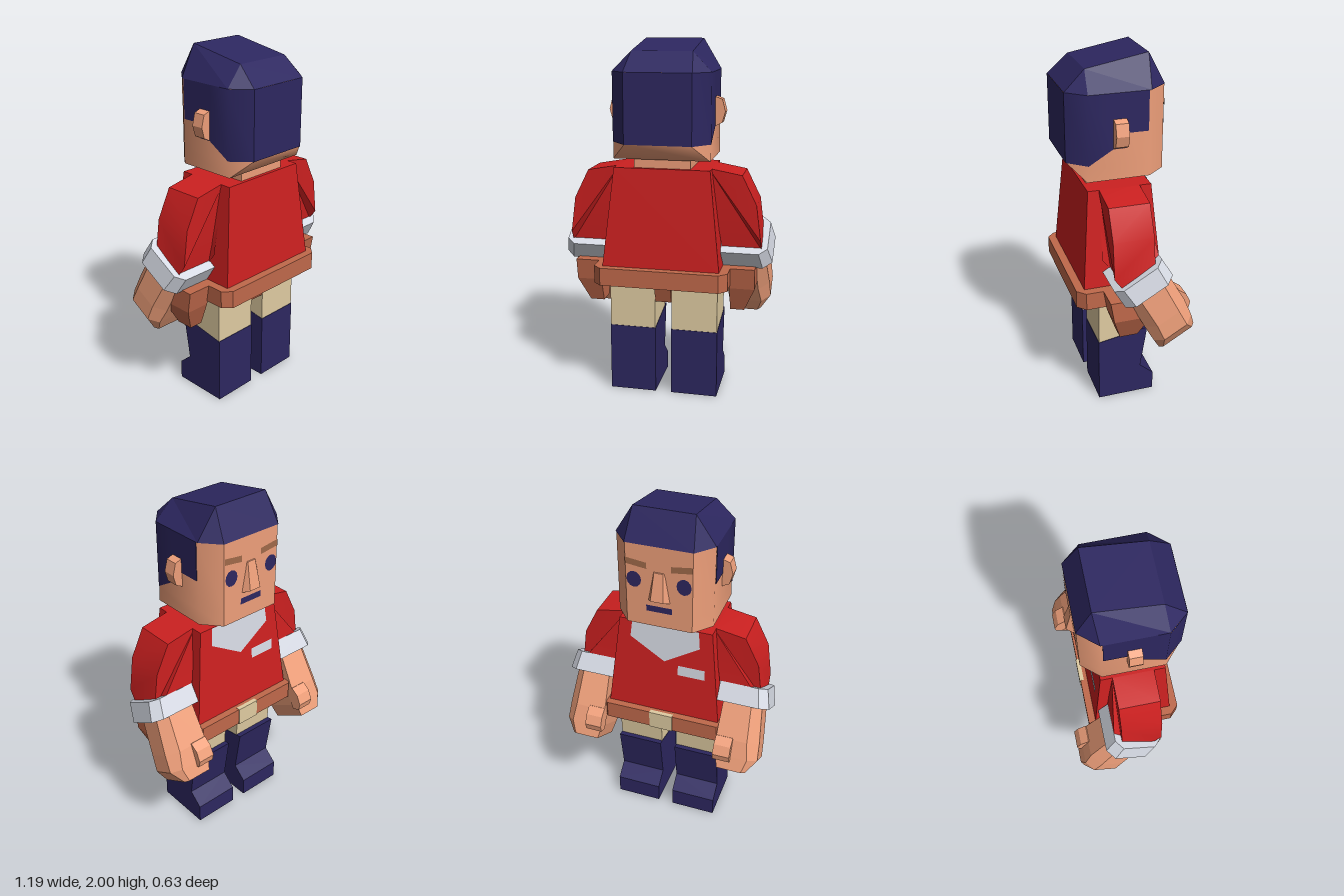
import * as THREE from 'three';
import { toCreasedNormals } from 'three/addons/utils/BufferGeometryUtils.js';

const COLORS = { navy: 0x2d2760, skin: 0xee9f7a, red: 0xcc2020, white: 0xd6dae4, leather: 0xc0694b, tan: 0xe0cca2, brow: 0xa06a4a };
const mats = {};
for (const k in COLORS) mats[k] = new THREE.MeshStandardMaterial({ color: COLORS[k] });
const thin = {};
for (const k in COLORS) thin[k] = new THREE.MeshStandardMaterial({ color: COLORS[k], side: THREE.DoubleSide });

// Skin matching rings of [x, y, z] points into a faceted solid, wound outward
function loft(rings, { crease = 0, caps = true } = {}) {
  const tris = [], n = rings[0].length;
  const V = rings.map(r => r.map(p => new THREE.Vector3(...p)));
  const add = (a, b, c) => {
    const area = b.clone().sub(a).cross(c.clone().sub(a)).length();
    if (area > 1e-7) tris.push([a, b, c]);
  };
  for (let i = 0; i + 1 < V.length; i++) {
    for (let j = 0; j < n; j++) {
      const k = (j + 1) % n;
      add(V[i][j], V[i][k], V[i + 1][k]);
      add(V[i][j], V[i + 1][k], V[i + 1][j]);
    }
  }
  if (caps) {
    const a = V[0], b = V[V.length - 1];
    for (let j = 1; j + 1 < n; j++) {
      add(a[0], a[j + 1], a[j]);
      add(b[0], b[j], b[j + 1]);
    }
  }
  const mid = new THREE.Vector3();
  V.flat().forEach(p => mid.addScaledVector(p, 1 / V.flat().length));
  let vol = 0;
  for (const t of tris) {
    const [a, b, c] = t.map(p => p.clone().sub(mid));
    vol += a.dot(b.cross(c));
  }
  const pos = tris.flatMap(([a, b, c]) => (vol < 0 ? [a, c, b] : [a, b, c]).flatMap(p => p.toArray()));
  const g = new THREE.BufferGeometry();
  g.setAttribute('position', new THREE.Float32BufferAttribute(pos, 3));
  g.computeVertexNormals();
  return crease ? toCreasedNormals(g, crease) : g;
}

// Horizontal rectangle and octagon rings
const rect = (y, x0, x1, z0, z1) => [[x0, y, z0], [x1, y, z0], [x1, y, z1], [x0, y, z1]];
const octagon = (y, w, z0, z1, cx, cz) => [
  [-w + cx, y, z0], [w - cx, y, z0], [w, y, z0 + cz], [w, y, z1 - cz],
  [w - cx, y, z1], [-w + cx, y, z1], [-w, y, z1 - cz], [-w, y, z0 + cz]];
// Arm ring: straight inside, chamfered outside, mirrored by s
const armRing = (s, y, x0, x1, z0, z1, c) => [
  [x0, y, z0], [x1 - c, y, z0], [x1, y, z0 + c], [x1, y, z1 - c], [x1 - c, y, z1], [x0, y, z1]
].map(([x, yy, z]) => [x * s, yy, z]);

export function createModel() {
  const model = new THREE.Group();
  const add = (name, geo, mat, parent = model) => {
    const m = new THREE.Mesh(geo, mat);
    m.name = name;
    parent.add(m);
    return m;
  };
  // Thin flat marking facing -z, laid at depth z(y)
  const decal = (name, pts, color, z) => {
    const g = new THREE.ShapeGeometry(new THREE.Shape(pts.map(p => new THREE.Vector2(...p))));
    const p = g.attributes.position;
    for (let i = 0; i < p.count; i++) p.setZ(i, z(p.getY(i)));
    g.computeVertexNormals();
    add(name, g, thin[color]);
  };

  // Head, with the back of the jaw cut away
  const jaw = octagon(1.37, 0.265, -0.22, 0.31, 0.085, 0.1);
  jaw[3] = jaw[4] = [0.265, 1.37, 0.22];
  jaw[5] = jaw[6] = [-0.265, 1.37, 0.22];
  add('head', loft([jaw, octagon(1.46, 0.265, -0.22, 0.31, 0.085, 0.1), octagon(1.835, 0.265, -0.22, 0.31, 0.085, 0.1)], { crease: 0.85 }), mats.skin);
  add('neck', loft([rect(1.3, -0.155, 0.155, -0.11, 0.2), rect(1.4, -0.155, 0.155, -0.11, 0.2)]), mats.skin);

  // Hair: wall round the sides and back, then the sloping crown
  const side = [[0.268, 1.62, -0.11], [0.268, 1.62, 0.01], [0.268, 1.54, 0.01], [0.268, 1.54, 0.08], [0.268, 1.46, 0.213], [0.182, 1.46, 0.313]];
  const hairLine = [...side, ...side.map(([x, y, z]) => [-x, y, z]).reverse()];
  add('hairSides', loft([hairLine, hairLine.map(([x, , z]) => [x, 1.835, z])], { crease: 0.85, caps: false }), thin.navy);
  const crown = [-1, 1, 1, 1, 1, -1, -1, -1].map((s, i) => {
    const back = i > 2 && i < 7;
    return [s * 0.165, back ? 1.94 : 2, back ? 0.2 : -0.138];
  });
  add('hairCrown', loft([octagon(1.835, 0.268, -0.222, 0.312, 0.085, 0.1), crown]), mats.navy);

  // Face
  const faceZ = () => -0.224;
  add('nose', loft([
    [[-0.065, 1.52, -0.21], [0.065, 1.52, -0.21], [0.035, 1.54, -0.257], [-0.035, 1.54, -0.257]],
    [[-0.035, 1.7, -0.21], [0.035, 1.7, -0.21], [0.025, 1.69, -0.224], [-0.025, 1.69, -0.224]]]), mats.skin);
  decal('mouth', [[-0.07, 1.46], [0.07, 1.46], [0.07, 1.495], [-0.07, 1.495]], 'navy', faceZ);

  // Torso with its tapered shirt, collar and badge
  add('shirt', loft([rect(0.76, -0.328, 0.328, -0.18, 0.265), rect(1.32, -0.265, 0.265, -0.13, 0.22)]), mats.red);
  const chestZ = y => -0.134 - (1.32 - y) * 0.09;
  decal('collar', [[-0.19, 1.32], [-0.2, 1.22], [0, 1.1], [0.2, 1.22], [0.19, 1.32]], 'white', chestZ);
  decal('badge', [[-0.235, 1.03], [-0.08, 1.03], [-0.08, 1.09], [-0.235, 1.09]], 'white', chestZ);

  // Belt, buckle and hip piece
  add('belt', loft([0.67, 0.77].map(y => octagon(y, 0.375, -0.22, 0.31, 0.045, 0.045))), mats.leather);
  add('buckle', loft([rect(0.668, -0.068, 0.068, -0.225, -0.2), rect(0.772, -0.068, 0.068, -0.225, -0.2)]), mats.tan);
  add('hipPiece', loft([rect(0.55, -0.046, 0.046, -0.06, 0.175), rect(0.68, -0.046, 0.046, -0.1, 0.22)]), mats.leather);

  for (const s of [1, -1]) {
    const tag = s > 0 ? 'left' : 'right';
    const across = (pts, x0, x1) => [x0, x1].map(x => pts.map(([z, y]) => [s * x, y, z]));
    const along = (pts, z0, z1) => [z0, z1].map(z => pts.map(([x, y]) => [s * x, y, z]));

    // Ear, eye and brow
    add(tag + 'Ear', loft(along([[0.25, 1.7], [0.265, 1.7], [0.305, 1.685], [0.322, 1.62], [0.305, 1.56], [0.265, 1.54], [0.25, 1.54]], 0.01, 0.08)), mats.skin);
    const eye = Array.from({ length: 12 }, (_, i) => {
      const a = i * Math.PI / 6;
      return [s * 0.135 + 0.04 * Math.cos(a), 1.635 + 0.046 * Math.sin(a)];
    });
    decal(tag + 'Eye', eye, 'navy', faceZ);
    decal(tag + 'Brow', [[0.065, 1.705], [0.18, 1.72], [0.18, 1.755], [0.065, 1.74]].map(([x, y]) => [s * x, y]), 'brow', faceZ);

    // Trouser leg and boot
    add(tag + 'Trouser', loft([rect(0.35, s * 0.047, s * 0.308, -0.07, 0.178), rect(0.68, s * 0.047, s * 0.308, -0.09, 0.178)]), mats.tan);
    add(tag + 'Boot', loft(across([[0.18, 0], [0.18, 0.39], [-0.11, 0.44], [-0.07, 0.18], [-0.15, 0.11], [-0.15, 0]], 0.045, 0.31)), mats.navy);

    // Pouch hanging from the belt
    add(tag + 'Pouch', loft([[0.51, 0.45, 0, 0.1], [0.65, 0.51, -0.06, 0.15], [0.77, 0.51, -0.06, 0.17]]
      .map(([y, x1, z0, z1]) => rect(y, s * 0.37, s * x1, z0, z1))), mats.leather);

    // Sleeve, its lower edge swung forward into the cuff
    const sleeve = along([[0.25, 1.32], [0.265, 1.32], [0.43, 1.29], [0.51, 1.13], [0.537, 0.93], [0.54, 0.87], [0.32, 0.87], [0.32, 0.93]], -0.065, 0.158);
    for (const ring of sleeve) for (const p of ring) {
      if (p[1] < 0.9) { p[1] += p[2] < 0 ? 0.06 : 0; p[2] -= 0.045; }
    }
    add(tag + 'Sleeve', loft(sleeve, { crease: 0.85 }), mats.red);

    // Bent forearm: cuff, hand and thumb
    const forearm = new THREE.Group();
    forearm.name = tag + 'Forearm';
    forearm.position.set(0, 0.885, 0);
    forearm.rotation.x = 0.53;
    model.add(forearm);
    add(tag + 'Cuff', loft([armRing(s, -0.055, 0.31, 0.597, -0.15, 0.15, 0.05), armRing(s, 0.055, 0.31, 0.572, -0.15, 0.15, 0.045)]), mats.white, forearm);
    add(tag + 'Hand', loft([
      armRing(s, -0.44, 0.365, 0.525, -0.1, 0.132, 0.02),
      armRing(s, -0.36, 0.345, 0.58, -0.115, 0.132, 0.05),
      armRing(s, -0.26, 0.338, 0.575, -0.13, 0.13, 0.06),
      armRing(s, 0, 0.345, 0.55, -0.135, 0.115, 0.05)]), mats.skin, forearm);
    add(tag + 'Thumb', loft(across([[-0.08, -0.25], [-0.135, -0.25], [-0.158, -0.3], [-0.153, -0.36], [-0.125, -0.39], [-0.08, -0.38]], 0.338, 0.435)), mats.skin, forearm);
  }
  return model;
}
